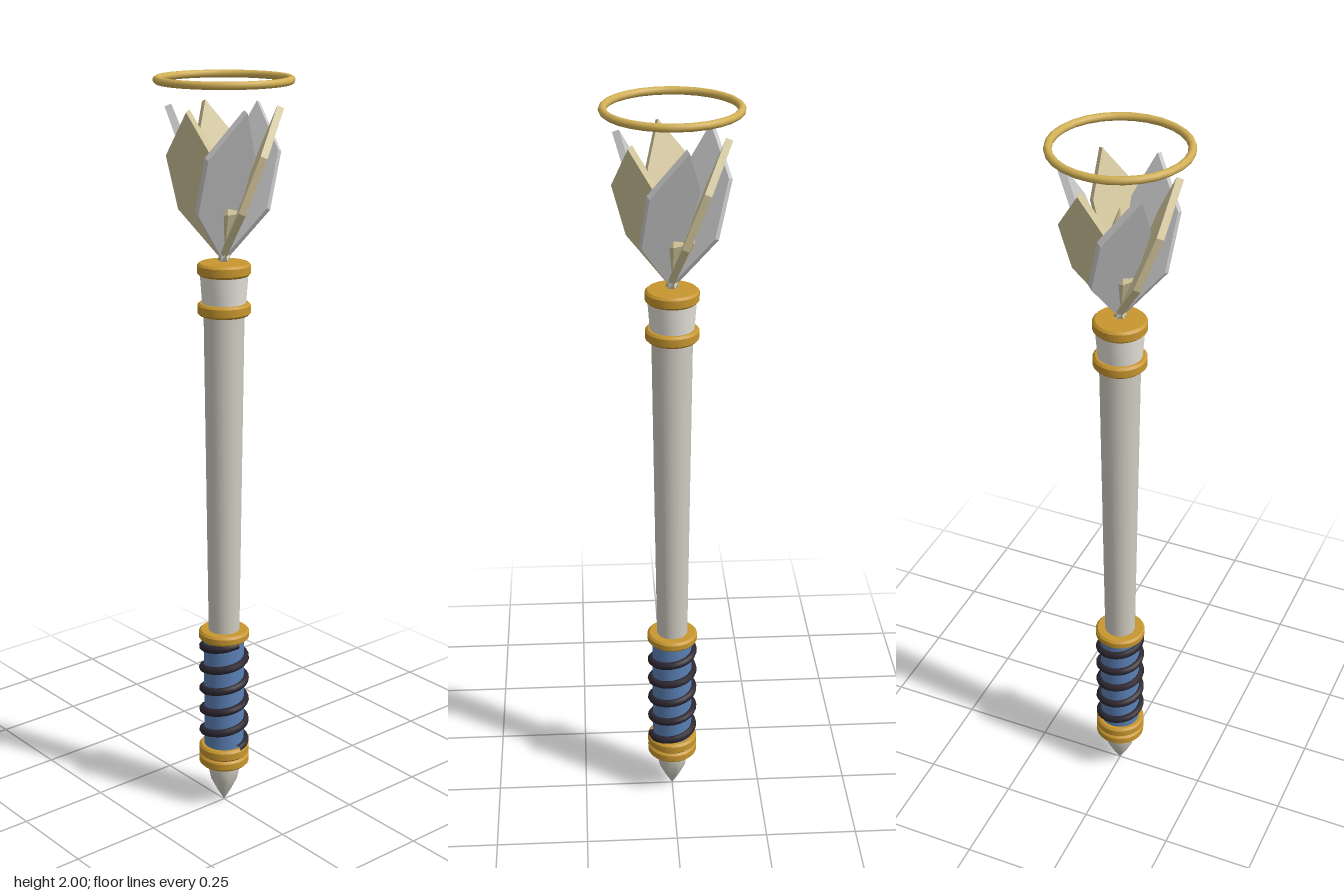
import * as THREE from 'three';
import { toCreasedNormals } from 'three/addons/utils/BufferGeometryUtils.js';

const mat = (color, flatShading = false) => new THREE.MeshStandardMaterial({ color, flatShading });

export function createModel() {
  const model = new THREE.Group();
  model.name = 'mace';

  const gold = mat(0xc8962e), paleGold = mat(0xd2b056);
  const ivory = mat(0xd0ccc2), pale = mat(0xe6e2da);
  const blue = mat(0x5a80b5), leather = mat(0x2c2630);
  const stone = mat(0xcccccc, true), sand = mat(0xd8cba0, true);

  const add = (name, geometry, material) => {
    const mesh = new THREE.Mesh(geometry, material);
    mesh.name = name;
    model.add(mesh);
    return mesh;
  };
  // Turned part from [radius, height] pairs, bottom to top
  const turned = (name, profile, material, sides = 24) => {
    const g = new THREE.LatheGeometry(profile.map(([r, y]) => new THREE.Vector2(r, y)), sides);
    return add(name, toCreasedNormals(g, 0.6), material);
  };
  // Gold band with bevelled rims
  const band = (name, y0, y1, r = 0.069) => turned(name, [
    [0, y0], [r - 0.006, y0], [r, y0 + 0.006], [r, y1 - 0.006], [r - 0.006, y1], [0, y1],
  ], gold);

  // Pommel and handle
  turned('pommelSpike', [[0, 0], [0.02, 0.035], [0.037, 0.07], [0.043, 0.1], [0.044, 0.13]], ivory);
  band('pommelBandLower', 0.12, 0.15);
  band('pommelBandUpper', 0.15, 0.181);
  turned('grip', [[0.055, 0.175], [0.055, 0.505]], blue);
  band('gripBand', 0.497, 0.524);

  // Leather cord spiralling up the grip
  const turns = 5, coil = [];
  for (let i = 0; i <= turns * 12; i++) {
    const a = (i / 12) * Math.PI * 2;
    coil.push(new THREE.Vector3(0.058 * Math.sin(a), 0.18 + 0.315 * i / (turns * 12), 0.058 * Math.cos(a)));
  }
  add('gripWrap', new THREE.TubeGeometry(new THREE.CatmullRomCurve3(coil), turns * 24, 0.011, 8), leather);

  // Shaft and neck
  turned('shaft', [[0.042, 0.51], [0.053, 1.41]], ivory);
  band('neckBandLower', 1.4, 1.432);
  turned('neck', [[0.056, 1.42], [0.063, 1.515]], pale);
  band('neckBandUpper', 1.503, 1.535);

  // Six-sided crystal between the blades
  const crystal = new THREE.LatheGeometry(
    [[0, 1.54], [0.063, 1.665], [0.058, 1.69], [0, 1.84]].map(([r, y]) => new THREE.Vector2(r, y)),
    6, Math.PI / 6 * 3);
  add('crystal', crystal, sand);

  // Leaning blades, each twisted so they form a pinwheel
  const outline = new THREE.Shape([
    [0, 0], [0.104, 0.135], [0.106, 0.275], [0.022, 0.388], [-0.025, 0.28], [-0.014, 0.13],
  ].map(([u, v]) => new THREE.Vector2(u, v)));
  const blade = new THREE.ExtrudeGeometry(outline, { depth: 0.018, bevelEnabled: false });
  const twist = 0.37, lean = 0.38;
  const c = Math.cos(twist), s = Math.sin(twist);
  blade.applyMatrix4(new THREE.Matrix4().makeBasis(
    new THREE.Vector3(s, 0, c),
    new THREE.Vector3(c * lean, 1, -s * lean),
    new THREE.Vector3(-c, lean, s).normalize()));
  blade.computeVertexNormals();
  for (let i = 0; i < 6; i++) {
    const mesh = add('blade' + (i + 1), blade, i % 2 ? sand : stone);
    mesh.position.y = 1.535;
    mesh.rotation.y = -i * Math.PI / 3;
  }

  // Floating ring above the head
  const halo = add('topRing', new THREE.TorusGeometry(0.166, 0.01, 10, 28), paleGold);
  halo.rotation.x = Math.PI / 2;
  halo.position.y = 1.99;

  return model;
}
